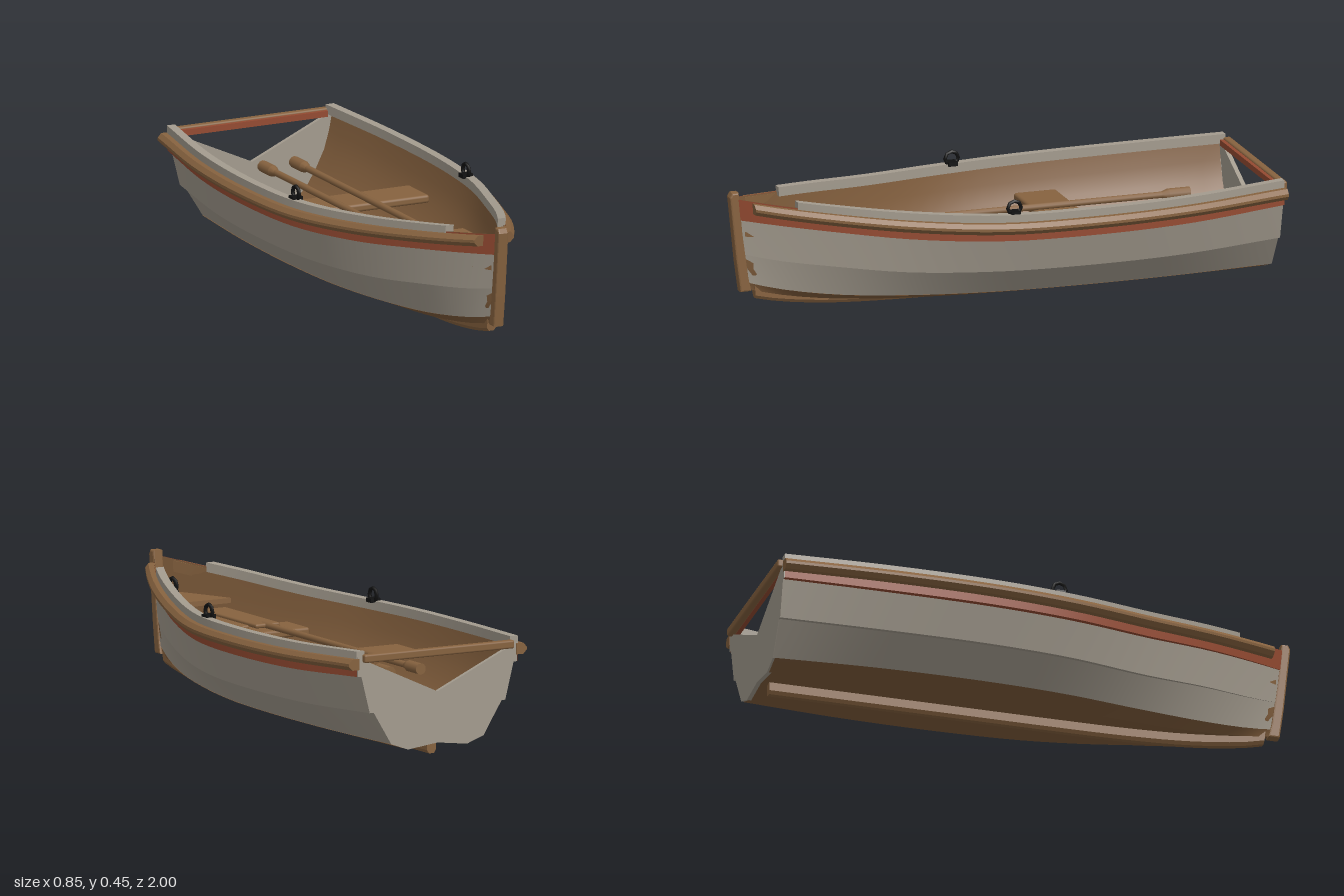
import * as THREE from 'three';
import { toCreasedNormals } from 'three/addons/utils/BufferGeometryUtils.js';
import { RoundedBoxGeometry } from 'three/addons/geometries/RoundedBoxGeometry.js';

const mat = (name, color, side = THREE.FrontSide) => {
  const m = new THREE.MeshStandardMaterial({ color, side });
  m.name = name;
  return m;
};

// hull lines along the length
const STATIONS = [-0.98, -0.6, -0.2, 0.1, 0.4, 0.65, 0.85, 0.96];
const line = (values) => {
  const c = new THREE.CubicInterpolant(STATIONS, values, 1, [0]);
  return (z) => c.evaluate(z)[0];
};
const beam = line([0.33, 0.377, 0.384, 0.352, 0.265, 0.172, 0.075, 0.012]);
const sheer = line([0.38, 0.365, 0.358, 0.357, 0.37, 0.393, 0.415, 0.43]);
const redEdge = line([0.31, 0.29, 0.283, 0.283, 0.295, 0.32, 0.34, 0.352]);
const midLap = line([0.175, 0.16, 0.156, 0.156, 0.162, 0.185, 0.205, 0.225]);
const bilge = line([0.055, 0.055, 0.055, 0.055, 0.058, 0.07, 0.095, 0.12]);
const rake = (z, y) => z + Math.max(0, (z - 0.5) / 0.46) * (y - 0.25) * 0.1;

// skin a cross-section swept from z0 to z1; closed sections (counter-clockwise) get end caps
function loft(z0, z1, section, { side = 1, closed = false, steps = 28, crease = 0.5 } = {}) {
  const pos = [], idx = [];
  let n = 0;
  for (let i = 0; i <= steps; i++) {
    const z = z0 + ((z1 - z0) * i) / steps;
    const pts = section(z);
    n = pts.length;
    for (const [x, y] of pts) pos.push(x * side, y, rake(z, y));
  }
  const tri = (a, b, c) => (side > 0 ? idx.push(a, b, c) : idx.push(a, c, b));
  for (let i = 0; i < steps; i++) {
    for (let j = 0; j < (closed ? n : n - 1); j++) {
      const k = (j + 1) % n, a = i * n, b = a + n;
      tri(a + j, a + k, b + k);
      tri(a + j, b + k, b + j);
    }
  }
  if (closed) {
    const e = steps * n;
    for (let j = 1; j < n - 1; j++) {
      tri(0, j + 1, j);
      tri(e, e + j, e + j + 1);
    }
  }
  const g = new THREE.BufferGeometry();
  g.setAttribute('position', new THREE.Float32BufferAttribute(pos, 3));
  g.setIndex(idx);
  return toCreasedNormals(g, crease);
}

const rect = (x0, x1, y0, y1) => [[x0, y0], [x1, y0], [x1, y1], [x0, y1]];

export function createModel() {
  const boat = new THREE.Group();
  boat.name = 'rowingBoat';
  const wood = mat('wood', 0x86623f);
  const woodSkin = mat('woodSkin', 0x7f5c3b, THREE.DoubleSide);
  const paint = mat('greyPaint', 0xa39b8e, THREE.DoubleSide);
  const red = mat('redPaint', 0x944a31, THREE.DoubleSide);
  const iron = mat('blackIron', 0x101010);

  const add = (name, geo, m, x = 0, y = 0, z = 0, parent = boat) => {
    const mesh = new THREE.Mesh(geo, m);
    mesh.name = name;
    mesh.position.set(x, y, z);
    parent.add(mesh);
    return mesh;
  };

  for (const side of [1, -1]) {
    const s = side > 0 ? 'left' : 'right';
    // overlapping planks, outside
    add(s + 'BottomPlank', loft(-0.975, 0.96, (z) => {
      const b = beam(z), d = bilge(z);
      return [[0, d - 0.01], [0.37 * b, d - 0.025], [0.59 * b, d]];
    }, { side }), woodSkin);
    add(s + 'LowerPlank', loft(-0.98, 0.96, (z) => {
      const b = beam(z);
      return [[0.56 * b, bilge(z)], [0.58 * b, bilge(z)], [0.81 * b, midLap(z)]];
    }, { side }), paint);
    add(s + 'UpperPlank', loft(-0.98, 0.96, (z) => {
      const b = beam(z);
      return [[0.8 * b, midLap(z)], [0.85 * b, midLap(z)], [0.955 * b, redEdge(z)]];
    }, { side }), paint);
    add(s + 'TopPlank', loft(-0.98, 0.96, (z) => {
      const b = beam(z);
      return [[0.95 * b, redEdge(z)], [b + 0.002, redEdge(z)], [b + 0.002, sheer(z)]];
    }, { side }), red);
    // smooth inner lining
    add(s + 'Lining', loft(-0.962, 0.95, (z) => {
      const b = beam(z), d = bilge(z);
      return [[0.96 * b, sheer(z)], [0.92 * b, redEdge(z)], [0.86 * b, (redEdge(z) + midLap(z)) / 2],
        [0.76 * b, midLap(z)], [0.66 * b, (midLap(z) + d) / 2 + 0.005], [0.52 * b, d + 0.015],
        [0.28 * b, d + 0.006], [0, d + 0.005]];
    }, { side, crease: 1 }), woodSkin);
    // gunwale cap and rubbing rail
    add(s + 'GunwaleCap', loft(-0.98, 0.77, (z) => {
      const x = beam(z) - 0.012, y = sheer(z);
      return rect(x - 0.016, x + 0.016, y - 0.012, y + 0.022);
    }, { side, closed: true }), paint);
    add(s + 'RubbingRail', loft(-0.985, 0.91, (z) => {
      const x = beam(z), y = sheer(z) - 0.025;
      return [[-0.005, -0.02], [0.024, -0.02], [0.038, -0.005], [0.038, 0.005], [0.024, 0.02], [-0.005, 0.02]]
        .map(([u, v]) => [x + u, y + v]);
    }, { side, closed: true }), wood);

    // rowlock: foot plate and upright ring
    const lock = new THREE.Group();
    lock.name = s + 'Rowlock';
    lock.position.set(side * 0.34, 0.38, 0.04);
    boat.add(lock);
    add('rowlockFoot', new THREE.BoxGeometry(0.04, 0.015, 0.035), iron, 0, 0, 0, lock);
    add('rowlockRing', new THREE.TorusGeometry(0.025, 0.007, 6, 8), iron, 0, 0.018, 0, lock).rotation.y = Math.PI / 2;

    // oar laid across the benches
    const oar = new THREE.Group();
    oar.name = s + 'Oar';
    oar.position.set(side * 0.063, 0.272, 0);
    boat.add(oar);
    const rod = (name, r0, r1, z0, z1) => {
      const g = new THREE.CylinderGeometry(r1, r0, z1 - z0, 10);
      g.rotateX(Math.PI / 2);
      add(name, g, wood, 0, 0, (z0 + z1) / 2, oar);
    };
    rod('oarShaft', 0.012, 0.012, -0.7, 0.34);
    rod('oarGrip', 0.021, 0.021, -0.76, -0.68);
    rod('oarCollar', 0.021, 0.012, -0.68, -0.655);
    add('oarBlade', new RoundedBoxGeometry(0.1, 0.016, 0.38, 2, 0.007), wood, 0, 0, 0.495, oar);
  }

  // stern board with a vee cut in its top edge
  const z = -0.98, b = beam(z), d = bilge(z);
  const half = [[b, sheer(z)], [b, redEdge(z)], [0.955 * b, redEdge(z)], [0.85 * b, midLap(z)],
    [0.8 * b, midLap(z)], [0.58 * b, d], [0.37 * b, d - 0.025]];
  const outline = [[0, 0.23], ...half, [0, d - 0.01], ...half.map(([x, y]) => [-x, y]).reverse()];
  const transom = new THREE.Shape(outline.map(([x, y]) => new THREE.Vector2(x, y)));
  add('transom', new THREE.ExtrudeGeometry(transom, { depth: 0.016, bevelEnabled: false }), paint, 0, 0, -0.982);
  add('sternBeam', new RoundedBoxGeometry(0.62, 0.03, 0.028, 2, 0.007), wood, 0, 0.375, -0.986);
  add('sternBeamTrim', new THREE.BoxGeometry(0.6, 0.022, 0.016), red, 0, 0.372, -0.966);

  // stem post
  const stem = new THREE.Shape([[0.925, 0.09], [0.955, 0.09], [0.97, 0.2], [0.994, 0.435], [0.988, 0.447],
    [0.972, 0.447], [0.958, 0.3], [0.935, 0.13]].map(([u, v]) => new THREE.Vector2(u, v)));
  const stemGeo = new THREE.ExtrudeGeometry(stem, { depth: 0.028, bevelThickness: 0.006, bevelSize: 0.006, bevelSegments: 2 });
  stemGeo.translate(0, 0, -0.014).rotateY(-Math.PI / 2);
  add('stemPost', stemGeo, wood);

  // keel
  add('keel', loft(-0.94, 0.92, (t) => {
    const y = bilge(t) - 0.055;
    return [[-0.01, y], [0.01, y], [0.018, y + 0.012], [0.018, y + 0.048], [-0.018, y + 0.048], [-0.018, y + 0.012]];
  }, { closed: true }), wood);

  // floor, benches and small bow deck
  add('floorBoards', loft(-0.76, 0.7, (t) => {
    const w = Math.min(0.16, 0.45 * beam(t));
    return rect(-w, w, 0.085, 0.1);
  }, { closed: true }), wood);
  add('mainBench', new RoundedBoxGeometry(0.62, 0.03, 0.16, 2, 0.01), wood, 0, 0.243, -0.262);
  add('frontBench', new RoundedBoxGeometry(0.43, 0.03, 0.155, 2, 0.01), wood, 0, 0.243, 0.345);
  add('bowDeck', loft(0.69, 0.94, (t) => {
    const w = 0.9 * beam(t);
    return rect(-w, w, 0.29, 0.308);
  }, { closed: true, steps: 8 }), wood);

  // mooring ring on the bow deck
  add('mooringFoot', new THREE.BoxGeometry(0.03, 0.014, 0.04), iron, 0, 0.315, 0.865);
  add('mooringRing', new THREE.TorusGeometry(0.026, 0.008, 6, 8), iron, 0, 0.34, 0.865).rotation.y = Math.PI / 2;

  return boat;
}
